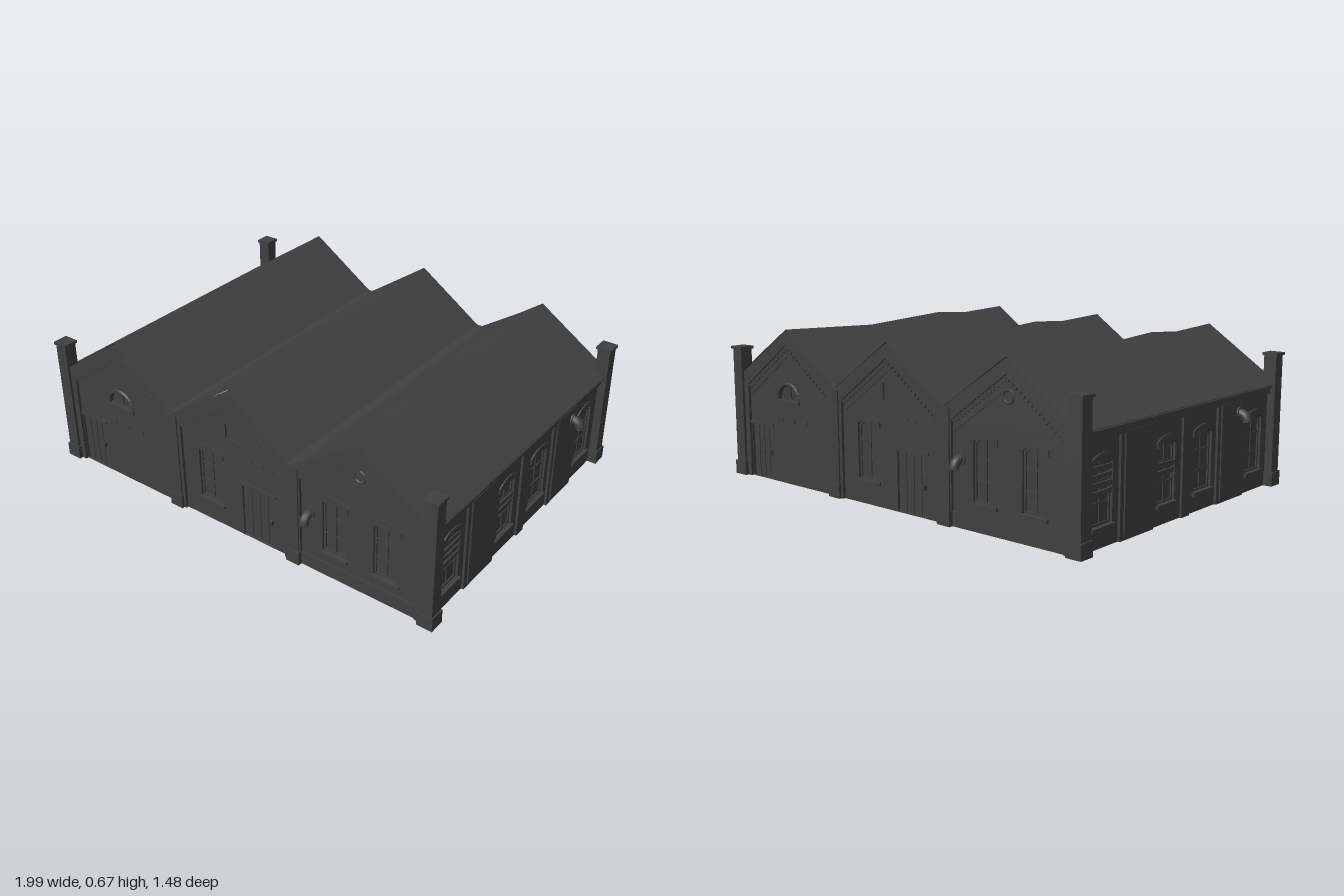
import * as THREE from 'three';

const mat = new THREE.MeshStandardMaterial({ color: 0x404040, flatShading: true, side: THREE.DoubleSide });
const smooth = new THREE.MeshStandardMaterial({ color: 0x404040, side: THREE.DoubleSide });

function add(parent, name, geo, material = mat) {
  const m = new THREE.Mesh(geo, material);
  m.name = name;
  parent.add(m);
  return m;
}

// Box given by its min and max on each axis
function box(parent, name, x0, x1, y0, y1, z0, z1) {
  const m = add(parent, name, new THREE.BoxGeometry(x1 - x0, y1 - y0, z1 - z0));
  m.position.set((x0 + x1) / 2, (y0 + y1) / 2, (z0 + z1) / 2);
  return m;
}

function slab(parent, name, shape, z0, z1) {
  const geo = new THREE.ExtrudeGeometry(shape, { depth: z1 - z0, bevelEnabled: false, curveSegments: 6 });
  return add(parent, name, geo.translate(0, 0, z0));
}

const poly = pts => new THREE.Shape(pts.map(p => new THREE.Vector2(...p)));

// Opening outline with a shallow arched head of the given rise
function arched(x0, x1, y0, y1, rise = 0.02) {
  const s = new THREE.Shape();
  s.moveTo(x0, y0);
  s.lineTo(x1, y0);
  s.lineTo(x1, y1 - rise);
  s.quadraticCurveTo((x0 + x1) / 2, y1 + rise, x0, y1 - rise);
  s.closePath();
  return s;
}

// Sash, bars, arched lintel and sill around an opening; z is the wall face
function windowSet(parent, x0, x1, y0, y1, z, boards = 0) {
  const g = new THREE.Group();
  g.name = 'window';
  parent.add(g);
  const cx = (x0 + x1) / 2, t = 0.008;
  slab(g, 'windowPane', arched(x0, x1, y0, y1), z - 0.02, z - 0.016);
  const frame = arched(x0, x1, y0, y1);
  frame.holes.push(arched(x0 + t, x1 - t, y0 + t, y1 - t));
  slab(g, 'windowFrame', frame, z - 0.016, z - 0.01);
  box(g, 'windowBar', cx - 0.003, cx + 0.003, y0, y1 - 0.01, z - 0.016, z - 0.012);
  for (const f of [0.33, 0.66]) {
    const y = y0 + (y1 - y0) * f;
    box(g, 'windowBar', x0, x1, y - 0.003, y + 0.003, z - 0.016, z - 0.012);
  }
  const lintel = new THREE.Shape();
  lintel.moveTo(x0 - 0.012, y1 - 0.025);
  lintel.quadraticCurveTo(cx, y1 + 0.02, x1 + 0.012, y1 - 0.025);
  lintel.lineTo(x1 + 0.012, y1);
  lintel.quadraticCurveTo(cx, y1 + 0.045, x0 - 0.012, y1);
  slab(g, 'windowLintel', lintel, z, z + 0.006);
  box(g, 'windowSill', x0 - 0.01, x1 + 0.01, y0 - 0.014, y0, z - 0.01, z + 0.01);
  for (let i = 0; i < boards; i++) {
    const y = y0 + 0.11 + i * 0.03;
    box(g, 'windowBoard', x0, x1, y, y + 0.018, z - 0.012, z - 0.003).rotation.z = (i % 2 ? -1 : 1) * 0.02;
  }
}

function doorSet(parent, x0, x1, y1, z) {
  box(parent, 'doorLeaf', x0, x1, 0, y1, z - 0.018, z - 0.01);
  for (let i = 1; i < 4; i++) {
    const x = x0 + (x1 - x0) * i / 4;
    box(parent, 'doorPlankSeam', x - 0.002, x + 0.002, 0, y1, z - 0.01, z - 0.007);
  }
  box(parent, 'doorLintel', x0 - 0.01, x1 + 0.01, y1, y1 + 0.014, z - 0.01, z + 0.006);
  box(parent, 'doorHandle', x1 - 0.025, x1 - 0.015, 0.11, 0.13, z - 0.01, z + 0.005);
}

// Short vent pipe that leaves the wall and bends down
function ventPipe(parent, x, y, z) {
  const path = new THREE.QuadraticBezierCurve3(
    new THREE.Vector3(x, y, z - 0.01), new THREE.Vector3(x, y, z + 0.032), new THREE.Vector3(x, y - 0.035, z + 0.034));
  add(parent, 'ventPipe', new THREE.TubeGeometry(path, 8, 0.019, 12), smooth);
  const collar = add(parent, 'ventCollar', new THREE.CylinderGeometry(0.026, 0.026, 0.008, 14));
  collar.rotation.x = Math.PI / 2;
  collar.position.set(x, y, z);
}

const FACE = 0.676;

// One gabled bay: raised border, recessed panel with openings and a dentil course
function gableBay(parent, cx, holes) {
  const g = new THREE.Group();
  g.name = 'gableBay';
  parent.add(g);
  const o = 0.305, i = 0.265;
  slab(g, 'gableBorder', poly([
    [cx - o, 0], [cx - o, 0.455], [cx, 0.662], [cx + o, 0.455], [cx + o, 0],
    [cx + i, 0], [cx + i, 0.41], [cx, 0.605], [cx - i, 0.41], [cx - i, 0]]), 0.66, 0.688);
  const panel = poly([[cx - i, 0], [cx + i, 0], [cx + i, 0.41], [cx, 0.605], [cx - i, 0.41]]);
  panel.holes.push(...holes);
  slab(g, 'gablePanel', panel, 0.656, FACE);
  const slope = Math.atan2(0.195, 0.265);
  for (const s of [-1, 1]) {
    for (let k = 0; k < 15; k++) {
      const t = (k + 0.5) / 15;
      const d = box(g, 'dentil', -0.005, 0.005, -0.01, 0.01, -0.004, 0.004);
      d.position.set(cx + s * i * t, 0.595 - 0.195 * t, FACE + 0.003);
      d.rotation.z = -s * slope;
    }
    const band = box(g, 'gableBand', -0.16, 0.16, -0.003, 0.003, -0.003, 0.003);
    band.position.set(cx + s * 0.128, 0.555 - 0.094, FACE + 0.001);
    band.rotation.z = -s * slope;
  }
  return g;
}

function facade() {
  const f = new THREE.Group();
  f.name = 'gableFacade';

  // Bay with fanlight and wide door
  const fan = new THREE.Shape();
  fan.moveTo(-0.68, 0.365);
  fan.lineTo(-0.55, 0.365);
  fan.absarc(-0.615, 0.365, 0.065, 0, Math.PI);
  const a = gableBay(f, -0.61, [fan, arched(-0.872, -0.73, 0.002, 0.235, 0)]);
  slab(a, 'fanlightPane', fan, 0.656, 0.66);
  const arch = add(a, 'fanlightArch', new THREE.TorusGeometry(0.07, 0.008, 6, 14, Math.PI));
  arch.position.set(-0.615, 0.365, FACE);
  for (const ang of [0.8, 1.57, 2.34]) {
    const bar = box(a, 'fanlightBar', -0.03, 0.03, -0.003, 0.003, -0.003, 0.003);
    bar.position.set(-0.615 + Math.cos(ang) * 0.032, 0.365 + Math.sin(ang) * 0.032, 0.663);
    bar.rotation.z = ang;
  }
  box(a, 'fanlightSill', -0.69, -0.54, 0.353, 0.365, 0.665, 0.685);
  doorSet(a, -0.872, -0.73, 0.235, FACE);
  for (const x of [-0.7, -0.62, -0.54]) box(a, 'exposedBricks', x, x + 0.045, 0.265, 0.288, FACE - 0.002, FACE + 0.003);

  // Bay with one window, a hatch and a door
  const b = gableBay(f, 0, [arched(-0.18, -0.06, 0.1, 0.345),
    arched(-0.03, 0.038, 0.437, 0.505, 0), arched(0.045, 0.21, 0.002, 0.25, 0)]);
  windowSet(b, -0.18, -0.06, 0.1, 0.345, FACE);
  box(b, 'hatch', -0.03, 0.038, 0.437, 0.505, 0.658, 0.668);
  doorSet(b, 0.045, 0.21, 0.25, FACE);
  for (const x of [0.07, 0.12, 0.17]) box(b, 'exposedBricks', x, x + 0.035, 0.365, 0.38, FACE - 0.002, FACE + 0.003);

  // Bay with two windows, a round vent and a plinth
  const c = gableBay(f, 0.61, [arched(0.445, 0.555, 0.11, 0.36), arched(0.68, 0.79, 0.11, 0.36)]);
  windowSet(c, 0.445, 0.555, 0.11, 0.36, FACE);
  windowSet(c, 0.68, 0.79, 0.11, 0.36, FACE);
  box(c, 'plinth', 0.345, 0.875, 0, 0.06, FACE, FACE + 0.006);
  const ring = add(c, 'roundVent', new THREE.TorusGeometry(0.024, 0.005, 6, 16));
  ring.position.set(0.615, 0.525, FACE);
  ventPipe(c, 0.39, 0.27, 0.686);

  // Pilasters between the bays
  for (const x of [-0.308, 0.312]) {
    box(f, 'pilaster', x - 0.027, x + 0.027, 0, 0.45, 0.66, 0.694);
    box(f, 'pilasterBase', x - 0.032, x + 0.032, 0, 0.06, 0.66, 0.7);
  }
  return f;
}

// Long wall, built along local x and turned to face +x
function sideWall() {
  const s = new THREE.Group();
  s.name = 'sideWall';
  s.rotation.y = Math.PI / 2;
  const z = 0.924;
  const wins = [[-0.59, -0.47, 4], [-0.18, -0.065, 2], [0.07, 0.2, 0], [0.475, 0.6, 0]];
  const wall = poly([[-0.66, 0], [0.66, 0], [0.66, 0.44], [-0.66, 0.44]]);
  wins.forEach(([x0, x1]) => wall.holes.push(arched(x0, x1, 0.08, 0.325)));
  slab(s, 'wallPanel', wall, z - 0.02, z);
  wins.forEach(([x0, x1, n]) => windowSet(s, x0, x1, 0.08, 0.325, z, n));
  // Raised piers and the flat panels set in them
  for (const [x0, x1] of [[-0.435, -0.22], [-0.025, 0.03], [0.23, 0.44]]) {
    box(s, 'pier', x0, x1, 0, 0.405, z - 0.01, z + 0.01);
    if (x1 - x0 > 0.1) box(s, 'pierPanel', x0 + 0.022, x1 - 0.022, 0.015, 0.405, z, z + 0.016);
  }
  box(s, 'cornice', -0.65, 0.65, 0.4, 0.425, z - 0.01, z + 0.014);
  box(s, 'gutter', -0.65, 0.65, 0.425, 0.44, z - 0.01, z + 0.022);
  ventPipe(s, 0.385, 0.355, z + 0.018);
  return s;
}

// Three ridges with a slight sag along their length
function roof(parent) {
  const xs = [-0.95, -0.61, -0.315, -0.295, 0, 0.29, 0.33, 0.61, 0.95];
  const ys = [0.435, 0.669, 0.46, 0.46, 0.669, 0.462, 0.462, 0.669, 0.435];
  const zs = [-0.69, -0.2, 0.23, 0.42, 0.69];
  const sag = [0, -0.02, 0.003, -0.011, 0];
  const geo = new THREE.PlaneGeometry(1, 1, xs.length - 1, zs.length - 1);
  const p = geo.attributes.position;
  for (let k = 0; k < p.count; k++) {
    const c = k % xs.length, r = Math.floor(k / xs.length);
    const ridge = ys[c] > 0.6;
    p.setXYZ(k, xs[c], ys[c] + (ridge ? sag[r] : 0), zs[r] * (ridge ? 0.99 : 1.005));
  }
  const flat = geo.toNonIndexed();
  flat.computeVertexNormals();
  add(parent, 'roof', flat);
}

export function createModel() {
  const model = new THREE.Group();
  model.name = 'brickWorkshop';
  // The two halves repeat by a half turn
  for (const turn of [0, Math.PI]) {
    const half = new THREE.Group();
    half.name = turn ? 'backHalf' : 'frontHalf';
    half.rotation.y = turn;
    half.add(facade(), sideWall());
    for (const s of [-1, 1]) {
      const x = s * 0.931, z = 0.671;
      const post = (name, w, y0, y1) => box(half, name, x - w, x + w, y0, y1, z - w, z + w);
      post('cornerPost', 0.028, 0, 0.56);
      post('cornerPostBase', 0.034, 0, 0.06);
      post('cornerPostCap', 0.034, 0.56, 0.572);
    }
    model.add(half);
  }
  roof(model);
  return model;
}
